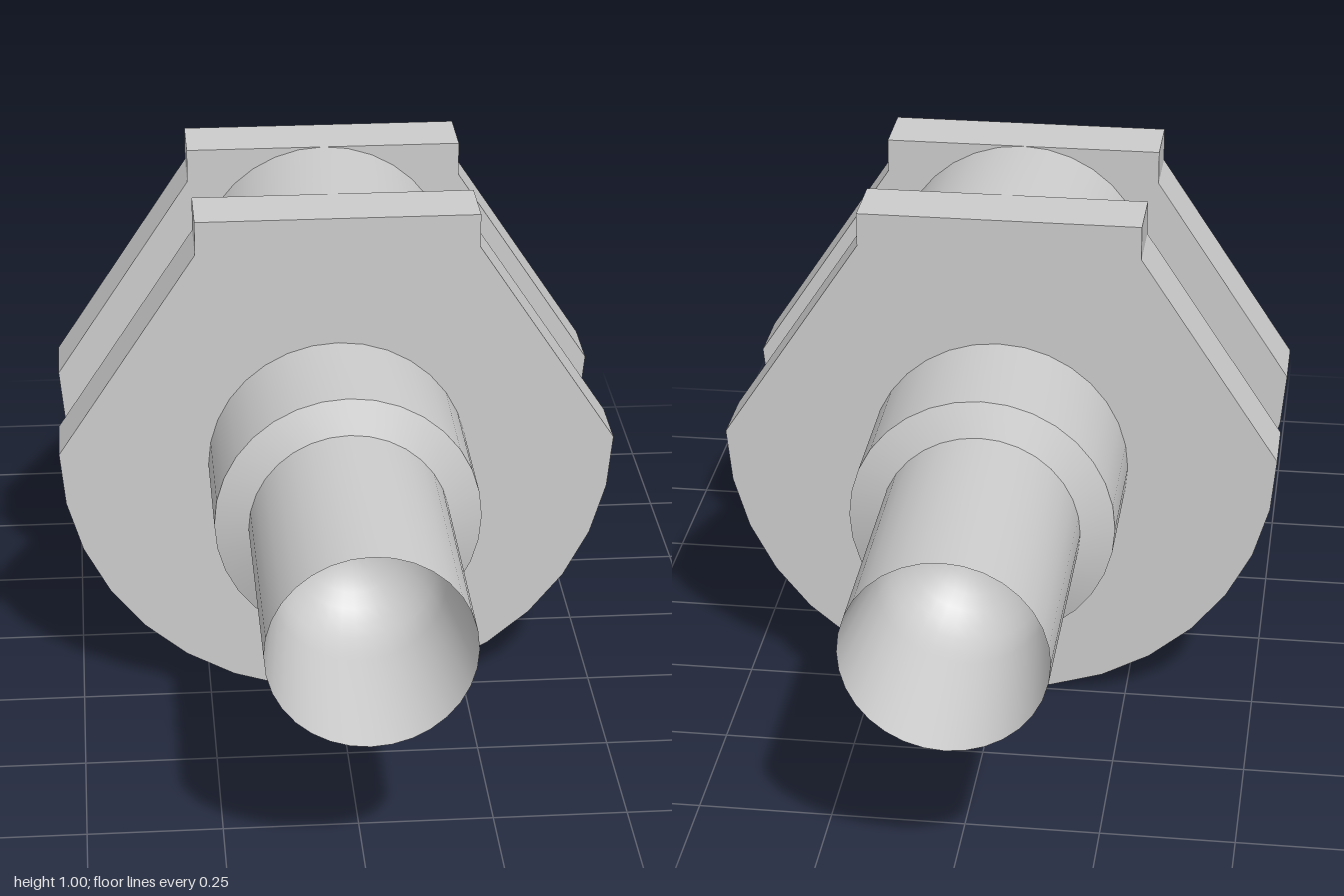
import * as THREE from 'three';
import { toCreasedNormals } from 'three/addons/utils/BufferGeometryUtils.js';

const material = new THREE.MeshStandardMaterial({ color: 0xcccccc });
const SEGMENTS = 32;

function addMesh(parent, name, geometry) {
  const mesh = new THREE.Mesh(toCreasedNormals(geometry, 0.42), material);
  mesh.name = name;
  parent.add(mesh);
  return mesh;
}

// Web plate: flat head, sloping flanks and a round counterweight below
function webGeometry() {
  const r = 0.532;
  const shape = new THREE.Shape();
  shape.moveTo(0.267, 0.935);
  shape.lineTo(0.267, 1);
  shape.lineTo(-0.267, 1);
  shape.lineTo(-0.267, 0.935);
  for (let i = 0; i <= 16; i++) {
    const a = Math.PI + (i / 16) * Math.PI;
    shape.lineTo(r * Math.cos(a), r + r * Math.sin(a));
  }
  shape.closePath();
  return new THREE.ExtrudeGeometry(shape, { depth: 0.125, bevelEnabled: false });
}

// Stepped main journal with a tapering, round-bottomed bore in its end
function journalGeometry() {
  const profile = [
    [0.248, 0.24], [0.248, 0.5], [0.186, 0.525], [0.186, 1], [0.157, 0.75],
  ].map(([x, y]) => new THREE.Vector2(x, y));
  for (let i = 1; i <= 8; i++) {
    const a = (i / 8) * Math.PI / 2;
    profile.push(new THREE.Vector2(i === 8 ? 0 : 0.157 * Math.cos(a), 0.75 - 0.157 * Math.sin(a)));
  }
  return new THREE.LatheGeometry(profile, SEGMENTS);
}

export function createModel() {
  const model = new THREE.Group();
  model.name = 'crankshaftSection';

  for (const [side, sign] of [['front', 1], ['rear', -1]]) {
    const web = addMesh(model, side + 'Web', webGeometry());
    web.position.z = sign > 0 ? 0.125 : -0.25;

    const journal = addMesh(model, side + 'Journal', journalGeometry());
    journal.rotation.x = sign * Math.PI / 2;
    journal.position.y = 0.5;
  }

  // Offset pin joining the two webs
  const pin = addMesh(model, 'crankPin', new THREE.CylinderGeometry(0.248, 0.248, 0.26, SEGMENTS));
  pin.rotation.x = Math.PI / 2;
  pin.position.y = 0.752;

  return model;
}
